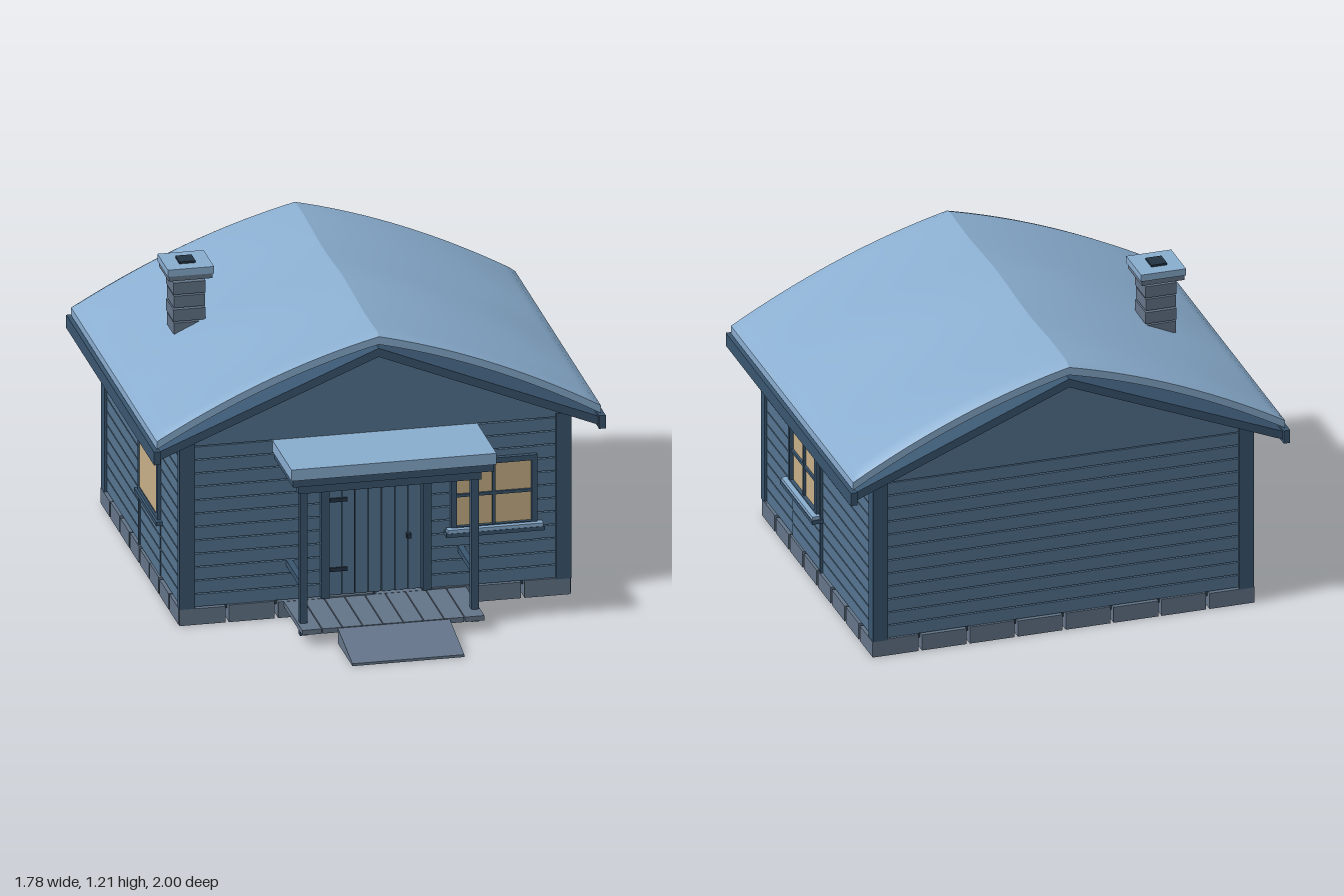
import * as THREE from 'three';
import { toCreasedNormals } from 'three/addons/utils/BufferGeometryUtils.js';

const mat = (color) => new THREE.MeshStandardMaterial({ color });
const wood = mat(0x547490), trim = mat(0x3a5670), snow = mat(0x8aaed0), stone = mat(0x64758a);
const glass = mat(0xc8b088), dark = mat(0x2c3e50), metal = mat(0x223344);

// Box given by its extents on each axis
function box(parent, name, material, [x0, x1], [y0, y1], [z0, z1]) {
  const mesh = new THREE.Mesh(new THREE.BoxGeometry(x1 - x0, y1 - y0, z1 - z0), material);
  mesh.position.set((x0 + x1) / 2, (y0 + y1) / 2, (z0 + z1) / 2);
  mesh.name = name;
  parent.add(mesh);
  return mesh;
}

function group(parent, name) {
  const g = new THREE.Group();
  g.name = name;
  parent.add(g);
  return g;
}

// Outline in x and y, extruded from z0 to z1
function prism(parent, name, material, points, z0, z1) {
  const shape = new THREE.Shape(points.map(([x, y]) => new THREE.Vector2(x, y)));
  const geo = new THREE.ExtrudeGeometry(shape, { depth: z1 - z0, bevelEnabled: false });
  const mesh = new THREE.Mesh(geo.translate(0, 0, z0), material);
  mesh.name = name;
  parent.add(mesh);
  return mesh;
}

// Stack of horizontal boards; rows between skip[0] and skip[1] are left open
function boards(parent, name, alongX, span, depth, skip = [99, 99]) {
  const g = group(parent, name);
  for (let i = 0; i < 12; i++) {
    if (i >= skip[0] && i <= skip[1]) continue;
    const y = [0.07 + i * 0.055, 0.12 + i * 0.055];
    if (alongX) box(g, 'board', wood, span, y, depth);
    else box(g, 'board', wood, depth, y, span);
  }
}

// Four-pane window facing +z, centred on its own origin
function makeWindow(parent, name, x, y, z, turn) {
  const g = group(parent, name);
  const w = 0.147, h = 0.124, f = 0.022;
  box(g, 'pane', glass, [-w, w], [-h, h], [-0.027, 0]);
  for (const s of [-1, 1]) {
    const sx = s * (w + f / 2), sy = s * (h + f / 2);
    box(g, 'frameSide', trim, [sx - f / 2, sx + f / 2], [-h - f, h + f], [-0.03, 0.015]);
    box(g, 'frameRail', trim, [-w, w], [sy - f / 2, sy + f / 2], [-0.03, 0.015]);
  }
  box(g, 'uprightBar', trim, [-0.006, 0.006], [-h, h], [-0.005, 0.01]);
  box(g, 'crossBar', trim, [-w, w], [-0.006, 0.006], [-0.005, 0.009]);
  box(g, 'sill', trim, [-0.193, 0.193], [-0.158, -0.142], [-0.04, 0.038]);
  box(g, 'sillSnow', snow, [-0.188, 0.188], [-0.142, -0.128], [0.004, 0.036]);
  g.position.set(x, y, z);
  g.rotation.y = turn;
}

// One slope of the snow blanket: a bent slab with a soft, rolling top
function snowSlope(side) {
  const W = 0.873, z0 = -0.98, z1 = 0.493, t = 0.045;
  const geo = new THREE.BoxGeometry(W, t, z1 - z0, 28, 2, 48);
  geo.translate(W / 2, t / 2, (z0 + z1) / 2);
  const p = geo.attributes.position;
  for (let i = 0; i < p.count; i++) {
    const x = p.getX(i), z = p.getZ(i), u = x / W;
    const wave = Math.cos((2 * Math.PI * (z + 0.1)) / 0.74);
    const edge = Math.min(W - x, z - z0, z1 - z);
    const round = 0.013 * Math.max(0, 1 - edge / 0.04) ** 2;
    const base = 1.11 - 0.355 * u + 4 * u * (1 - u) * (0.035 + 0.006 * wave) + 0.006 * wave * (1 - u);
    p.setXYZ(i, side * x, base + p.getY(i) - (round * p.getY(i)) / t, z);
  }
  if (side < 0) {
    const index = geo.index.array;
    for (let i = 0; i < index.length; i += 3) [index[i], index[i + 1]] = [index[i + 1], index[i]];
  }
  const mesh = new THREE.Mesh(toCreasedNormals(geo, 0.7), snow);
  mesh.name = side > 0 ? 'roofSnowLeft' : 'roofSnowRight';
  return mesh;
}

export function createModel() {
  const house = new THREE.Group();
  house.name = 'cabin';

  // Foundation stones around the edge
  const base = group(house, 'foundation');
  for (let i = 0; i < 8; i++) {
    const x = -0.77 + i * 0.1938, z = -0.915 + i * 0.1688;
    const top = 0.066 + 0.004 * (i % 2);
    for (const [a, b] of [[0.375, 0.435], [-0.915, -0.855]]) box(base, 'stone', stone, [x, x + 0.18], [0, top], [a, b]);
    for (const s of [-1, 1]) {
      const c = s * 0.742;
      box(base, 'stone', stone, [c - 0.03, c + 0.03], [0.001, top - 0.001], [z, z + 0.155]);
    }
  }

  // Floor planks
  const floor = group(house, 'floor');
  for (let i = 0; i < 12; i++) {
    const z = -0.89 + i * 0.108;
    box(floor, 'floorPlank', dark, [-0.74, 0.74], [0.045, 0.068], [z, z + 0.104]);
  }

  // Board walls, split around the door and windows
  const walls = group(house, 'walls');
  boards(walls, 'frontWall', true, [-0.72, -0.2], [0.385, 0.425]);
  boards(walls, 'frontWall', true, [0.2, 0.31], [0.385, 0.425]);
  boards(walls, 'frontWall', true, [0.31, 0.625], [0.388, 0.428], [5, 8]);
  boards(walls, 'frontWall', true, [0.625, 0.72], [0.385, 0.425]);
  boards(walls, 'frontWallOverDoor', true, [-0.2, 0.2], [0.385, 0.425], [0, 9]);
  boards(walls, 'backWall', true, [-0.72, 0.72], [-0.905, -0.865]);
  for (const s of [-1, 1]) {
    const deep = (d) => [s * d, s * (d - 0.04)].sort((a, b) => a - b);
    boards(walls, 'sideWall', false, [0.073, 0.41], deep(0.76));
    boards(walls, 'sideWall', false, [-0.265, 0.073], deep(0.764), [5, 8]);
    boards(walls, 'sideWall', false, [-0.87, -0.265], deep(0.76));
    const post = deep(0.77);
    box(walls, 'sideBatten', trim, post, [0.07, 0.73], [-0.28, -0.266]);
    const px = [s * 0.74 - 0.03, s * 0.74 + 0.03];
    box(walls, 'cornerPost', trim, px, [0.065, 0.745], [0.395, 0.435]);
    box(walls, 'cornerPost', trim, px, [0.065, 0.745], [-0.916, -0.86]);
    box(walls, 'wallPlate', trim, deep(0.762), [0.728, 0.744], [-0.9, 0.42]);
  }
  const gable = [[-0.77, 0.73], [0.77, 0.73], [0.77, 0.742], [0, 1.062], [-0.77, 0.742]];
  prism(walls, 'frontGable', wood, gable, 0.39, 0.427);
  prism(walls, 'backGable', wood, gable, -0.907, -0.87);

  // Roof boards, eave boards and snow
  const roof = group(house, 'roof');
  prism(roof, 'roofBoards', trim,
    [[0, 1.095], [-0.87, 0.74], [-0.87, 0.705], [0, 1.06], [0.87, 0.705], [0.87, 0.74]], -0.98, 0.49);
  for (const s of [-1, 1]) {
    box(roof, 'eaveBoard', trim, [s * 0.875 - 0.013, s * 0.875 + 0.013], [0.698, 0.752], [-0.998, 0.51]);
    roof.add(snowSlope(s));
  }

  // Chimney in stone courses with a snowy cap
  const chimney = group(house, 'chimney');
  for (let i = 0; i < 7; i++) {
    const r = 0.063 - 0.002 * (i % 2), y = 0.76 + i * 0.055;
    box(chimney, 'course', stone, [-0.573 - r, -0.573 + r], [y, y + 0.048], [-0.318 - r, -0.318 + r]);
  }
  box(chimney, 'flue', metal, [-0.607, -0.543], [0.8, 1.212], [-0.353, -0.283]);
  box(chimney, 'cap', stone, [-0.66, -0.488], [1.155, 1.176], [-0.403, -0.233]);
  box(chimney, 'capSnow', snow, [-0.665, -0.483], [1.176, 1.204], [-0.408, -0.228]);

  // Windows on the front and both sides
  makeWindow(house, 'frontWindow', 0.465, 0.443, 0.432, 0);
  makeWindow(house, 'leftWindow', 0.768, 0.443, -0.095, Math.PI / 2);
  makeWindow(house, 'rightWindow', -0.745, 0.443, -0.095, Math.PI / 2);

  // Plank door with frame, hinges and handle
  const door = group(house, 'door');
  for (let i = 0; i < 7; i++) {
    const x = -0.182 + i * 0.052;
    box(door, 'doorPlank', wood, [x, x + 0.049], [0.075, 0.58], [0.4, 0.432]);
  }
  box(door, 'doorBacking', dark, [-0.18, 0.18], [0.075, 0.58], [0.39, 0.42]);
  for (const s of [-1, 1]) box(door, 'doorJamb', trim, [s * 0.2 - 0.016, s * 0.2 + 0.016], [0.07, 0.62], [0.385, 0.45]);
  box(door, 'doorHead', trim, [-0.184, 0.184], [0.583, 0.62], [0.385, 0.45]);
  for (const y of [0.18, 0.465]) box(door, 'hinge', metal, [-0.178, -0.11], [y - 0.008, y + 0.008], [0.43, 0.438]);
  box(door, 'handle', metal, [0.12, 0.137], [0.29, 0.308], [0.43, 0.455]);

  // Porch deck, posts, rails and canopy
  const porch = group(house, 'porch');
  for (let i = 0; i < 9; i++) {
    const x = -0.36 + i * 0.08;
    box(porch, 'deckPlank', stone, [x, x + 0.076], [0.045, 0.065], [0.43, 0.75]);
  }
  for (const s of [-1, 1]) {
    const x = s * 0.337;
    box(porch, 'porchPost', trim, [x - 0.015, x + 0.015], [0.015, 0.61], [0.646, 0.678]);
    box(porch, 'porchRail', trim, [x - 0.012, x + 0.012], [0.208, 0.232], [0.425, 0.65]);
  }
  box(porch, 'porchBeam', trim, [-0.36, 0.36], [0.6, 0.642], [0.639, 0.686]);
  box(porch, 'canopy', trim, [-0.395, 0.395], [0.652, 0.682], [0.42, 0.745]);
  box(porch, 'canopySnow', snow, [-0.403, 0.403], [0.682, 0.728], [0.42, 0.753]);

  // Wedge ramp leading up to the deck
  const ramp = prism(house, 'ramp', stone, [[-1, 0], [-0.75, 0], [-0.75, 0.062], [-1, 0.01]], -0.22, 0.22);
  ramp.rotation.y = Math.PI / 2;

  return house;
}
